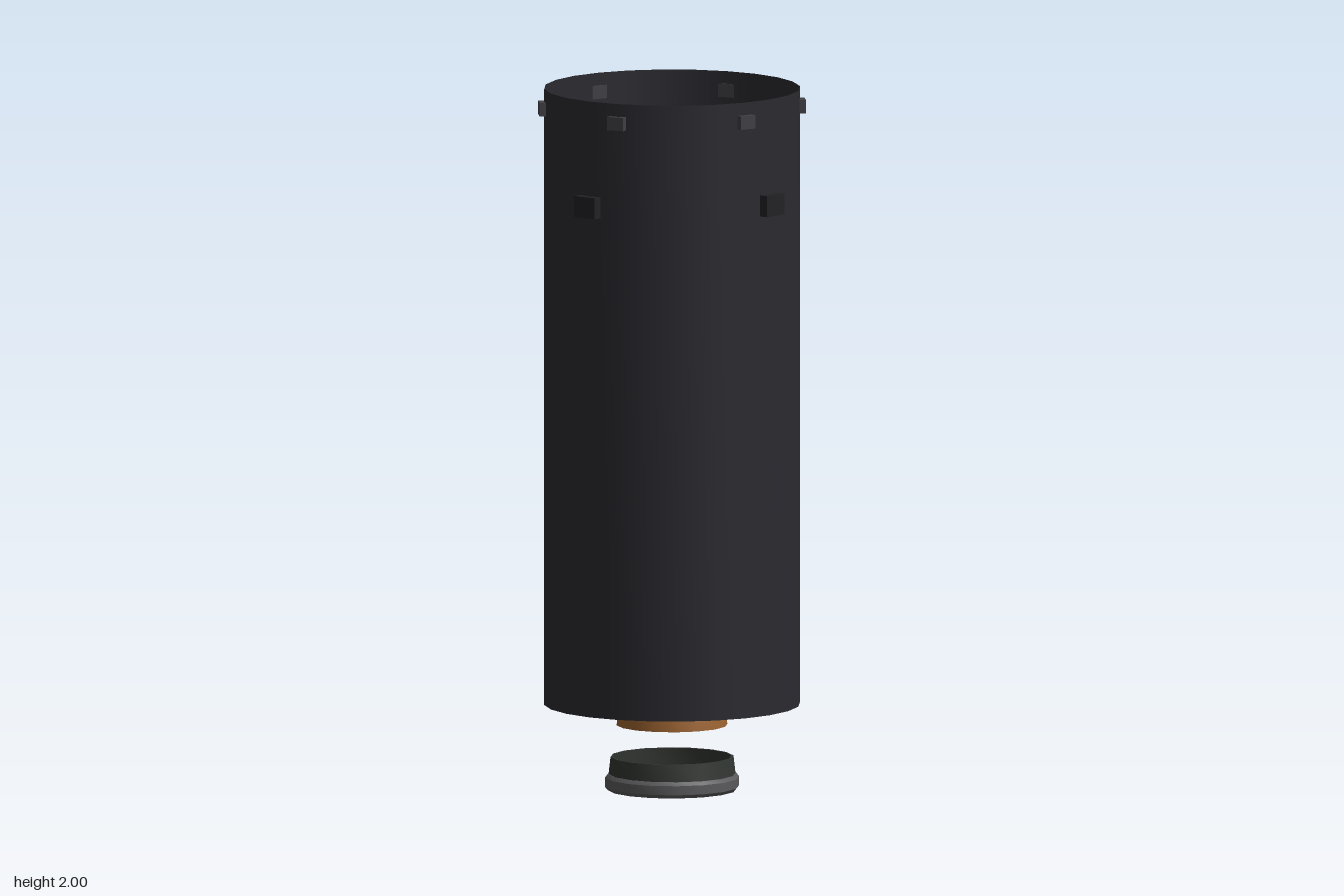
import * as THREE from 'three';
import { toCreasedNormals } from 'three/addons/utils/BufferGeometryUtils.js';

const material = (color) => new THREE.MeshStandardMaterial({ color, side: THREE.DoubleSide });
const hullMat = material(0x2a2a30);
const bulkheadMat = material(0x2b2b2d);
const latchMat = material(0x404045);
const blockMat = material(0x222225);
const bellMat = material(0x9a6230);
const chamberMat = material(0x77777c);
const ringMat = material(0x5a5a5c);
const collarMat = material(0x323632);

// Round part from [radius, height] pairs, listed from the bottom up on the outside
function turned(name, profile, sides, mat, crease = 0.6) {
  const points = profile.map(([r, y]) => new THREE.Vector2(r, y));
  const geometry = toCreasedNormals(new THREE.LatheGeometry(points, sides), crease);
  const mesh = new THREE.Mesh(geometry, mat);
  mesh.name = name;
  return mesh;
}

// Boxes spaced evenly around the hull, from radius r0 to r1
function boxesAround(name, count, startAngle, y, [width, height], r0, r1, mat) {
  const group = new THREE.Group();
  group.name = name + 's';
  const geometry = new THREE.BoxGeometry(width, height, r1 - r0);
  geometry.translate(0, 0, (r0 + r1) / 2);
  for (let i = 0; i < count; i++) {
    const box = new THREE.Mesh(geometry, mat);
    box.name = name;
    box.position.y = y;
    box.rotation.y = startAngle + (i * 2 * Math.PI) / count;
    group.add(box);
  }
  return group;
}

export function createModel() {
  const model = new THREE.Group();
  model.name = 'interstage';

  // Open thin-walled hull
  model.add(turned('hull', [[0.362, 0.245], [0.362, 2]], 24, hullMat));

  // Cross wall that carries the engine
  model.add(turned('bulkhead', [[0, 0.48], [0.356, 0.48], [0.356, 0.5], [0, 0.5]], 24, bulkheadMat));

  // Small latches near the rim and larger blocks below them
  model.add(boxesAround('latch', 6, Math.PI / 6, 1.945, [0.05, 0.038], 0.357, 0.377, latchMat));
  model.add(boxesAround('sideBlock', 4, Math.PI / 4, 1.7, [0.075, 0.06], 0.357, 0.383, blockMat));

  // Engine: chamber above the bulkhead, bell below it
  model.add(turned('chamber', [[0.067, 0.49], [0.067, 0.6], [0.06, 0.62], [0, 0.625]], 12, chamberMat));
  model.add(turned('engineBell', [[0.157, 0.185], [0.148, 0.25], [0.125, 0.33], [0.092, 0.41], [0.066, 0.48]], 16, bellMat));

  // Loose hoop below the bell: heavy ring with a thin collar on top
  model.add(turned('hoopRing', [
    [0.172, 0.005], [0.182, 0], [0.19, 0.01], [0.19, 0.036], [0.182, 0.046], [0.172, 0.046], [0.172, 0.005],
  ], 16, ringMat));
  model.add(turned('hoopCollar', [[0.18, 0.044], [0.174, 0.095], [0.168, 0.095], [0.172, 0.044]], 16, collarMat));

  return model;
}
